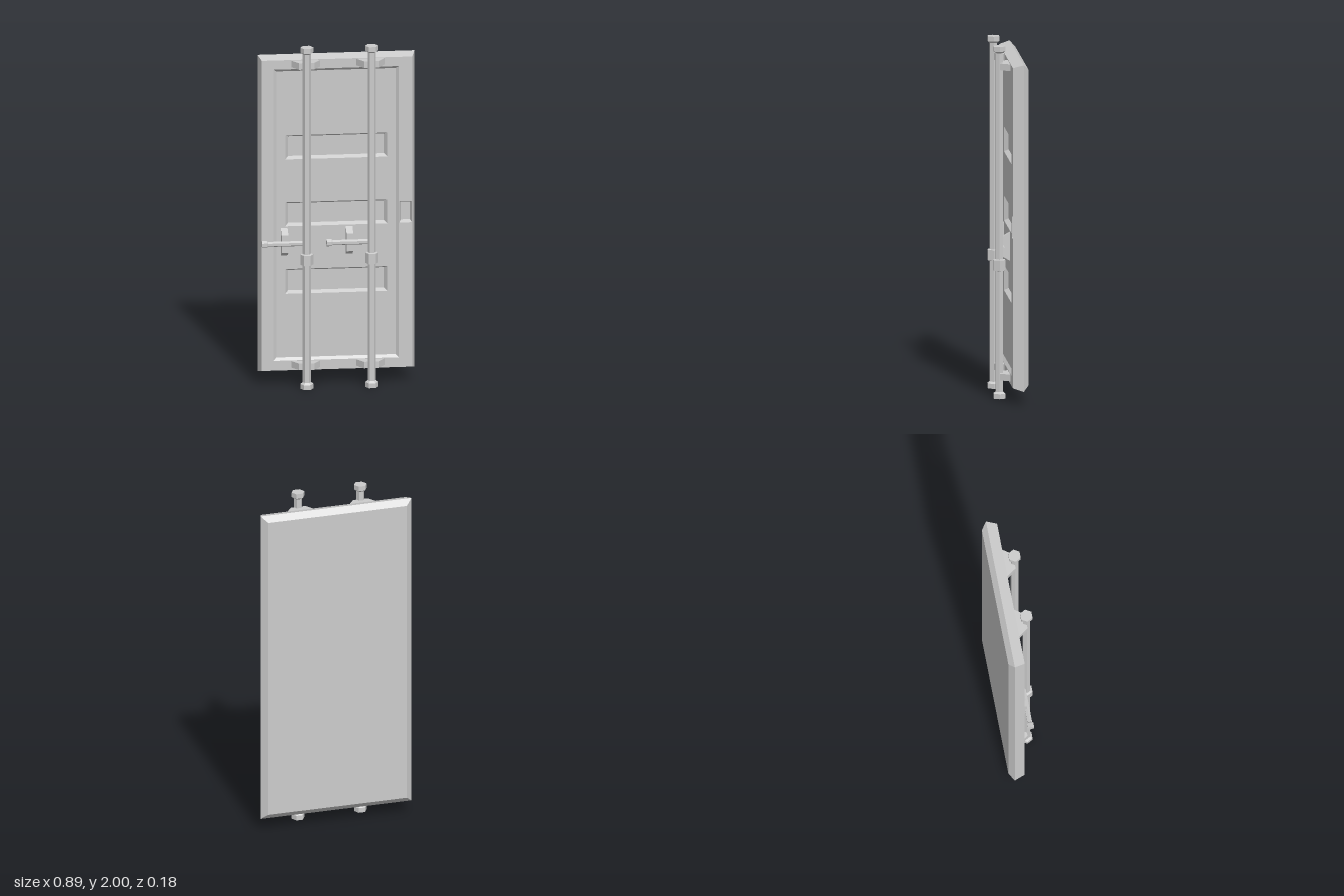
import * as THREE from 'three';

const mat = new THREE.MeshStandardMaterial({ color: 0xcccccc, flatShading: true });

function add(parent, name, geometry) {
  const mesh = new THREE.Mesh(geometry, mat);
  mesh.name = name;
  parent.add(mesh);
  return mesh;
}

// Rectangles are [x0, x1, y0, y1]
const corners = ([x0, x1, y0, y1]) => [[x0, y0], [x1, y0], [x1, y1], [x0, y1]];
const inset = ([x0, x1, y0, y1], dx, dy) => [x0 + dx, x1 - dx, y0 + dy, y1 - dy];
const toPath = (rect, Type) => new Type(corners(rect).map(p => new THREE.Vector2(...p)));

// Flat sheet at depth z with rectangular openings
function sheet(rect, holes, z) {
  const shape = toPath(rect, THREE.Shape);
  shape.holes = holes.map(h => toPath(h, THREE.Path));
  return new THREE.ShapeGeometry(shape).translate(0, 0, z);
}

// Four sloping walls per step between rectangles: sections are [rect, z]
function walls(sections) {
  const pos = [];
  for (let s = 0; s < sections.length - 1; s++) {
    const [ra, za] = sections[s], [rb, zb] = sections[s + 1];
    const A = corners(ra).map(p => [...p, za]), B = corners(rb).map(p => [...p, zb]);
    for (let i = 0; i < 4; i++) {
      const j = (i + 1) % 4;
      pos.push(...A[i], ...A[j], ...B[j], ...A[i], ...B[j], ...B[i]);
    }
  }
  const g = new THREE.BufferGeometry();
  g.setAttribute('position', new THREE.Float32BufferAttribute(pos, 3));
  g.computeVertexNormals();
  return g;
}

// Six-sided turned part along y, corners on the x axis; profile is [radius, y]
const hex = profile => new THREE.LatheGeometry(
  profile.map(p => new THREE.Vector2(...p)), 6, Math.PI / 2).toNonIndexed();

// Trapezoid standing out along +y from a base, extruded along z
function trapezoid(base, tip, y0, y1, width) {
  const shape = new THREE.Shape([[-base, y0], [base, y0], [tip, y1], [-tip, y1]]
    .map(p => new THREE.Vector2(...p)));
  return new THREE.ExtrudeGeometry(shape, { depth: width, bevelEnabled: false })
    .translate(0, 0, -width / 2);
}

export function createModel() {
  const model = new THREE.Group();
  model.name = 'containerDoor';

  // Door slab with bevelled edges and stepped recesses
  const door = new THREE.Group();
  door.name = 'door';
  model.add(door);
  const front = [-0.425, 0.425, 0.093, 1.912];
  const rim = [-0.443, 0.443, 0.075, 1.93];
  const back = [-0.407, 0.407, 0.108, 1.898];
  const field = [-0.358, 0.35, 0.15, 1.858];
  const fieldFloor = inset(field, 0.017, 0.015);
  const latch = [0.353, 0.423, 0.94, 1.065];
  const latchFloor = inset(latch, 0.01, 0.011);
  const panels = [[0.537, 0.682], [0.933, 1.074], [1.325, 1.466]].map(y => [-0.29, 0.287, ...y]);
  const zField = -0.015, zPanel = -0.04, zLatch = -0.025;

  add(door, 'doorEdge', walls([[back, -0.09], [rim, -0.06], [front, 0]]));
  add(door, 'doorBack', new THREE.PlaneGeometry(back[1] - back[0], back[3] - back[2])
    .rotateY(Math.PI).translate(0, (back[2] + back[3]) / 2, -0.09));
  add(door, 'doorFrame', sheet(front, [field, latch], 0));
  add(door, 'fieldWalls', walls([[field, 0], [fieldFloor, zField]]));
  add(door, 'field', sheet(fieldFloor, panels, zField));
  add(door, 'latchWalls', walls([[latch, 0], [latchFloor, zLatch]]));
  add(door, 'latchFloor', sheet(latchFloor, [], zLatch));
  for (const p of panels) {
    const floor = inset(p, 0.018, 0.013);
    add(door, 'panelWalls', walls([[p, zField], [floor, zPanel]]));
    add(door, 'panelFloor', sheet(floor, [], zPanel));
  }

  // Two identical locking bars
  for (const x of [-0.176, 0.188]) {
    const bar = new THREE.Group();
    bar.name = 'lockingBar';
    bar.position.x = x;
    model.add(bar);

    const rod = new THREE.Group();
    rod.name = 'rodAssembly';
    rod.position.z = 0.055;
    bar.add(rod);
    const R = 0.037, r = 0.023;
    add(rod, 'rod', hex([[r, 0.02], [r, 1.98]]));
    add(rod, 'bottomCap', hex([[0, 0], [R, 0], [R, 0.028], [r, 0.038]]));
    add(rod, 'topCap', hex([[r, 1.962], [R, 1.972], [R, 2], [0, 2]]));
    add(rod, 'collar', hex([[r, 0.724], [R, 0.727], [R, 0.787], [r, 0.79]]));

    // Guide brackets at both ends
    for (const y of [0.127, 1.889]) {
      add(bar, 'bracket', trapezoid(0.081, 0.043, 0, 0.054, 0.038)
        .rotateX(Math.PI / 2).translate(0, y, 0));
    }

    // Handle reaching sideways, with an end knob
    const handle = new THREE.Group();
    handle.name = 'handle';
    handle.position.set(0, 0.845, 0.035);
    handle.rotation.z = Math.PI / 2;
    bar.add(handle);
    const turn = g => g.rotateY(0);
    add(handle, 'handleBar', turn(hex([[0.015, 0], [0.015, 0.24]])));
    add(handle, 'handleKnob', turn(hex([[0.015, 0.218], [0.021, 0.224], [0.021, 0.251], [0, 0.251]])));

    // Catch holding the handle
    add(bar, 'handleCatch', trapezoid(0.08, 0.052, zField, 0.034, 0.038)
      .rotateX(Math.PI / 2).rotateZ(Math.PI / 2).translate(-0.12, 0.843, 0));
  }
  return model;
}
